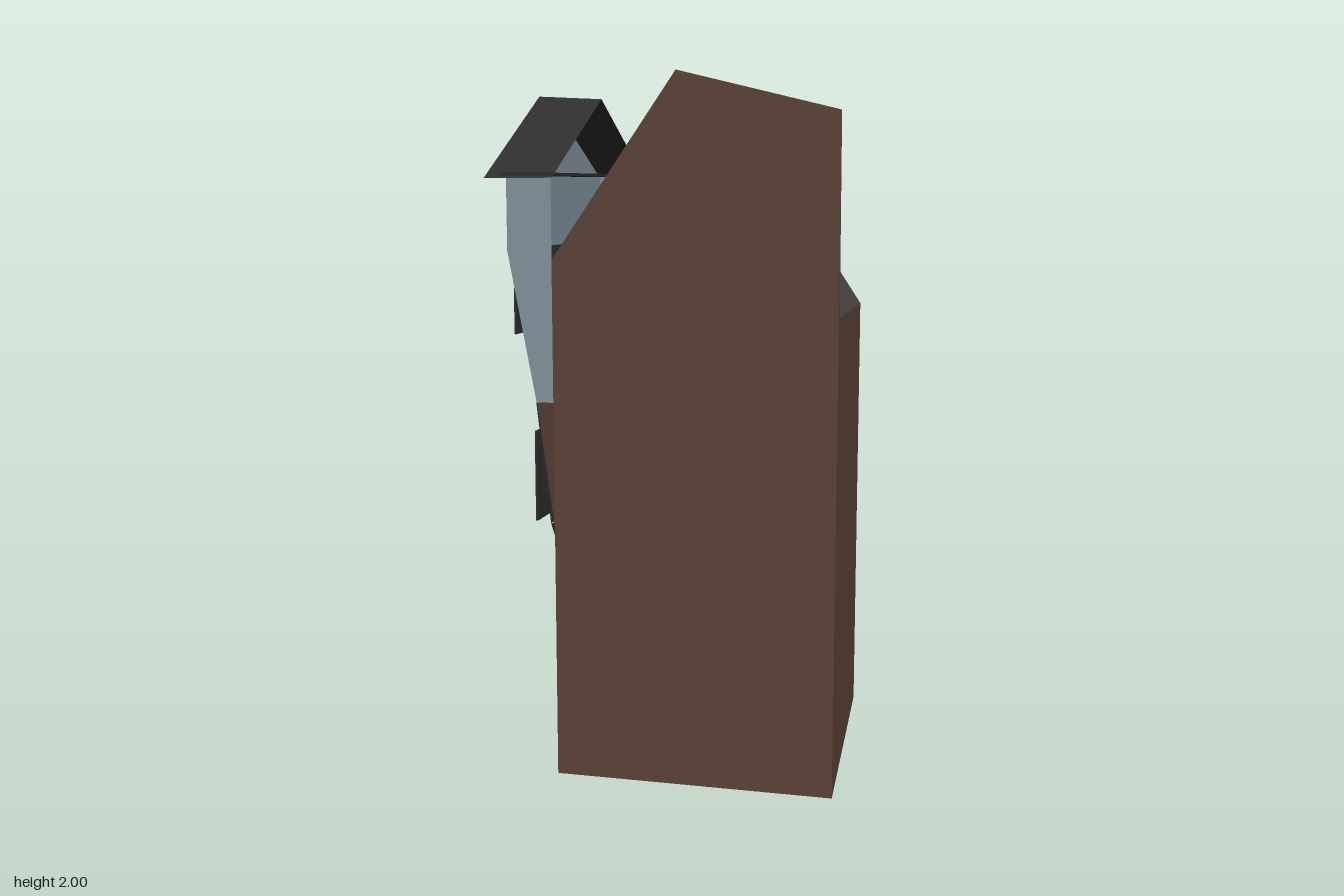
import * as THREE from 'three';

const mat = (name, color) => {
  const m = new THREE.MeshStandardMaterial({ color, side: THREE.DoubleSide, flatShading: true });
  m.name = name;
  return m;
};

export function createModel() {
  const brown = mat('brown wall', 0x5c4438);
  const slate = mat('slate roof', 0x474342);
  const dark = mat('dark trim', 0x2e2e2e);
  const blue = mat('blue bay', 0x84959f);
  const cream = mat('cream glass', 0xe6dfca);

  const model = new THREE.Group();
  model.name = 'townHouse';

  // flat polygon drawn as a fan from its first corner
  const face = (parent, name, material, pts) => {
    const pos = [];
    for (let i = 1; i < pts.length - 1; i++) pos.push(...pts[0], ...pts[i], ...pts[i + 1]);
    const g = new THREE.BufferGeometry();
    g.setAttribute('position', new THREE.Float32BufferAttribute(pos, 3));
    g.computeVertexNormals();
    const mesh = new THREE.Mesh(g, material);
    mesh.name = name;
    parent.add(mesh);
  };

  // plan corners: A front, B right, C back, D left
  const A = y => [0.01, y, 0.5];
  const B = y => [0.66, y, 0.03];
  const C = y => [0.115, y, -0.64];
  const D = y => [-0.5, y, -0.22];
  const ridgeNear = [0.295, 2, 0.29];
  const ridgeFar = [-0.243, 1.977, -0.39];
  const notch = [0.307, 1.9, 0.19];
  const eaveNear = [0.622, 1.34, -0.013];

  // walls, open at the bottom
  face(model, 'gableWallNear', brown, [A(0), B(0), B(1.89), ridgeNear, A(1.49)]);
  face(model, 'backWall', brown, [B(0), C(0), C(1.32), eaveNear, B(1.89)]);
  face(model, 'gableWallFar', brown, [C(0), D(0), D(1.53), ridgeFar, C(1.32)]);

  // main roof with the raised corner
  face(model, 'roofFront', slate, [A(1.49), ridgeNear, ridgeFar, D(1.53)]);
  face(model, 'roofBack', slate, [ridgeFar, ridgeNear, notch, eaveNear, C(1.32)]);
  face(model, 'roofCorner', slate, [ridgeNear, B(1.89), notch]);
  face(model, 'cornerUpstand', brown, [notch, B(1.89), eaveNear]);

  // street front: x runs along the wall from D to A, z points outward
  const front = new THREE.Group();
  front.name = 'streetFront';
  front.position.set(-0.5, 0, -0.22);
  front.rotation.y = -0.955;
  model.add(front);
  const W = 0.88;

  // shop front and the wall above it
  face(front, 'shopFront', dark, [[0, 0.09, 0], [0.87, 0.09, 0], [0.536, 0.7, 0], [0.15, 0.67, 0], [0, 0.75, 0]]);
  face(front, 'sidePanel', dark, [[0, 0.75, 0], [0.15, 0.67, 0], [0.225, 1.127, 0.013], [0, 1.14, 0]]);
  face(front, 'upperWall', brown, [[0.536, 0.7, 0], [0.87, 0.7, 0], [0.875, 1.09, 0.05], [0.225, 1.127, 0.013], [0.15, 0.67, 0]]);
  face(front, 'lowerWall', brown, [[0.536, 0.7, 0], [0.87, 0.09, 0], [0.87, 0.7, 0]]);
  face(front, 'cornerPanel', dark, [[0.875, 1.09, 0.053], [0.7, 1.0, 0.047], [0.76, 0.75, 0.015], [0.87, 0.74, 0.015]]);
  face(front, 'cornerPanelTip', dark, [[0.55, 0.72, 0.01], [0.76, 0.58, 0.01], [0.87, 0.74, 0.015]]);

  // thin upright plate
  const plate = (name, material, x0, x1, y0, y1, z) => {
    const mesh = new THREE.Mesh(new THREE.BoxGeometry(x1 - x0, y1 - y0, 0.006), material);
    mesh.name = name;
    mesh.position.set((x0 + x1) / 2, (y0 + y1) / 2, z);
    front.add(mesh);
  };

  // shop glass behind the dark front
  for (const x of [0.27, 0.45]) plate('shopGlass', cream, x, x + 0.145, 0.095, 0.43, -0.008);

  // first-floor windows, two leaves each
  for (const x of [0.05, 0.5]) {
    plate('windowLeaf', dark, x, x + 0.179, 0.745, 1.005, 0.06);
    plate('windowLeaf', dark, x + 0.183, x + 0.363, 0.745, 1.005, 0.06);
    plate('windowBar', dark, x + 0.172, x + 0.19, 0.82, 1.005, 0.064);
  }

  // bay window: front, sloping foot, cheeks and gable
  const out = 0.13, top = 1.73, mid = 1.515;
  face(front, 'bayFront', blue, [[0, mid, out], [W, mid, out], [W, top, out], [0, top, out]]);
  face(front, 'bayFoot', blue, [[0, mid, out], [0, 1.14, 0], [W, 1.09, 0.05]]);
  face(front, 'bayFootPanel', dark, [[0, mid, out], [W, 1.09, 0.05], [W, mid, out]]);
  face(front, 'bayCheekLeft', blue, [[W, mid, out], [W, 1.09, 0.05], [W, 1.09, 0], [W, top, 0], [W, top, out]]);
  face(front, 'bayCheekRight', blue, [[0, mid, out], [0, top, out], [0, top, 0], [0, 1.14, 0]]);
  face(front, 'bayGable', blue, [[0.03, top, out], [W - 0.01, top, out], [0.44, 1.92, out]]);
  for (let i = 0; i < 3; i++) plate('bayWindowPane', dark, 0.33 + i * 0.181, 0.508 + i * 0.181, 1.28, 1.41, 0.113);

  // bay roof and the thin cornice under it
  const eaves = [['bayRoofRight', -0.03], ['bayRoofLeft', 0.912]];
  for (const [name, x] of eaves)
    face(front, name, dark, [[x, 1.715, 0.183], [0.445, 1.96, 0.183], [0.44, 1.95, -0.012], [x, 1.715, -0.014]]);
  const cornice = new THREE.Mesh(new THREE.BoxGeometry(0.92, 0.008, 0.15), dark);
  cornice.name = 'bayCornice';
  cornice.position.set(0.44, 1.725, 0.065);
  front.add(cornice);

  return model;
}
